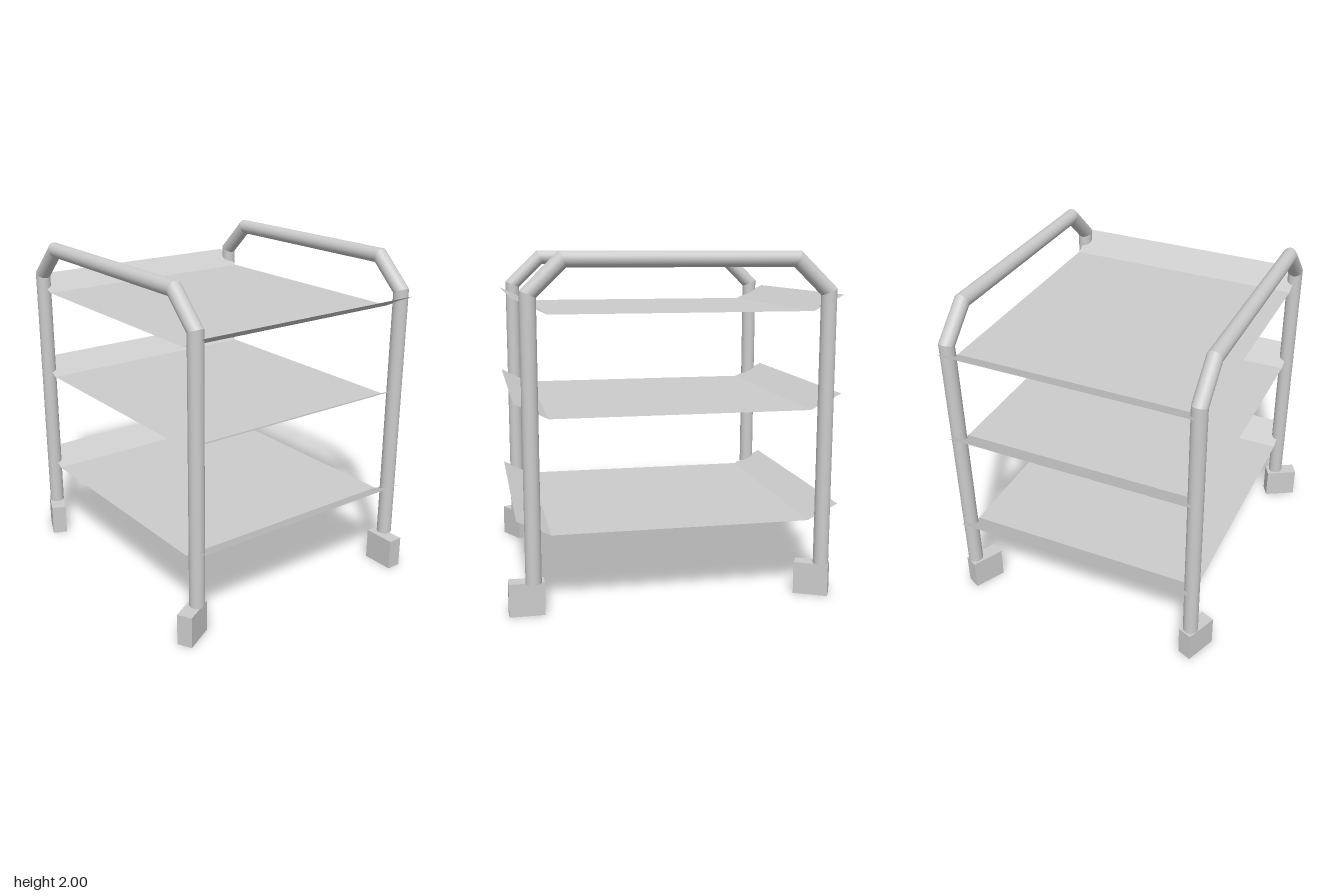
import * as THREE from 'three';
import { mergeGeometries } from 'three/addons/utils/BufferGeometryUtils.js';

const LEFT_X = 0.79, RIGHT_X = -0.7, TUBE_R = 0.045, SIDES = 24;
const X = new THREE.Vector3(1, 0, 0);

// Straight tube pieces in the yz plane, mitred where they meet
function mitredTube(path, r) {
  const dirs = path.slice(1).map((p, i) => p.clone().sub(path[i]).normalize());
  const planes = path.map((_, i) =>
    (dirs[i - 1] ?? dirs[0]).clone().add(dirs[i] ?? dirs[dirs.length - 1]).normalize());
  const pieces = dirs.map((t, i) => {
    const pos = [], nor = [], idx = [];
    const n = X.clone().cross(t);
    for (let e = 0; e < 2; e++) {
      for (let j = 0; j <= SIDES; j++) {
        const a = (j / SIDES) * Math.PI * 2;
        const out = n.clone().multiplyScalar(Math.cos(a)).addScaledVector(X, Math.sin(a));
        const off = out.clone().multiplyScalar(r);
        const m = planes[i + e];
        const p = path[i + e].clone().add(off).addScaledVector(t, -off.dot(m) / t.dot(m));
        pos.push(...p.toArray());
        nor.push(...out.toArray());
      }
    }
    for (let j = 0; j < SIDES; j++) {
      const a = j, b = j + 1, c = a + SIDES + 1, d = b + SIDES + 1;
      idx.push(a, b, c, b, d, c);
    }
    const g = new THREE.BufferGeometry();
    g.setAttribute('position', new THREE.Float32BufferAttribute(pos, 3));
    g.setAttribute('normal', new THREE.Float32BufferAttribute(nor, 3));
    g.setIndex(idx);
    return g;
  });
  return mergeGeometries(pieces);
}

// Thin sheet: a z/y profile swept across the width
function sheet(profile, x0, x1) {
  const pos = [];
  for (let i = 0; i < profile.length - 1; i++) {
    const [z0, y0] = profile[i], [z1, y1] = profile[i + 1];
    pos.push(x0, y0, z0, x0, y1, z1, x1, y1, z1, x0, y0, z0, x1, y1, z1, x1, y0, z0);
  }
  const g = new THREE.BufferGeometry();
  g.setAttribute('position', new THREE.Float32BufferAttribute(pos, 3));
  g.computeVertexNormals();
  return g;
}

// Box with its underside left open
function openBox(w, h, d) {
  const g = new THREE.BoxGeometry(w, h, d);
  const idx = Array.from(g.index.array);
  idx.splice(18, 6);
  g.setIndex(idx);
  g.clearGroups();
  return g;
}

export function createModel() {
  const model = new THREE.Group();
  model.name = 'trolley';
  const material = new THREE.MeshStandardMaterial({ color: 0xcccccc, side: THREE.DoubleSide });
  const add = (name, geometry, x = 0, y = 0, z = 0, turn = 0) => {
    const mesh = new THREE.Mesh(geometry, material);
    mesh.name = name;
    mesh.position.set(x, y, z);
    mesh.rotation.y = turn;
    model.add(mesh);
  };

  // Side frames: two legs and a handle rail bent from one tube
  const path = [[0.19, 0.817], [1.775, 0.817], [1.957, 0.63], [1.957, -0.672], [1.775, -0.862], [0.19, -0.862]]
    .map(([y, z]) => new THREE.Vector3(0, y, z));
  const frame = mitredTube(path, TUBE_R);
  const cap = new THREE.CircleGeometry(TUBE_R, SIDES).rotateX(Math.PI / 2);
  for (const [side, x] of [['left', LEFT_X], ['right', RIGHT_X]]) {
    add(side + 'Frame', frame, x);
    add(side + 'FrontLegCap', cap, x, 0.19, 0.817);
    add(side + 'BackLegCap', cap, x, 0.19, -0.862);
  }

  // Shelves with raised sloping lips at front and back
  const shelf = sheet([[-0.955, 0.09], [-0.775, 0], [0.715, 0], [0.905, 0.09]], RIGHT_X, LEFT_X);
  [['lower', 0.455], ['middle', 1.105], ['upper', 1.667]]
    .forEach(([level, y]) => add(level + 'Shelf', shelf, 0, y));

  // Casters, each swivelled differently
  const caster = openBox(0.09, 0.19, 0.2);
  [
    ['frontLeftCaster', 0.752, 0.855, 0],
    ['frontRightCaster', -0.738, 0.824, -61],
    ['backLeftCaster', 0.754, -0.82, -27],
    ['backRightCaster', -0.72, -0.82, -22],
  ].forEach(([name, x, z, deg]) => add(name, caster, x, 0.095, z, THREE.MathUtils.degToRad(deg)));

  return model;
}
